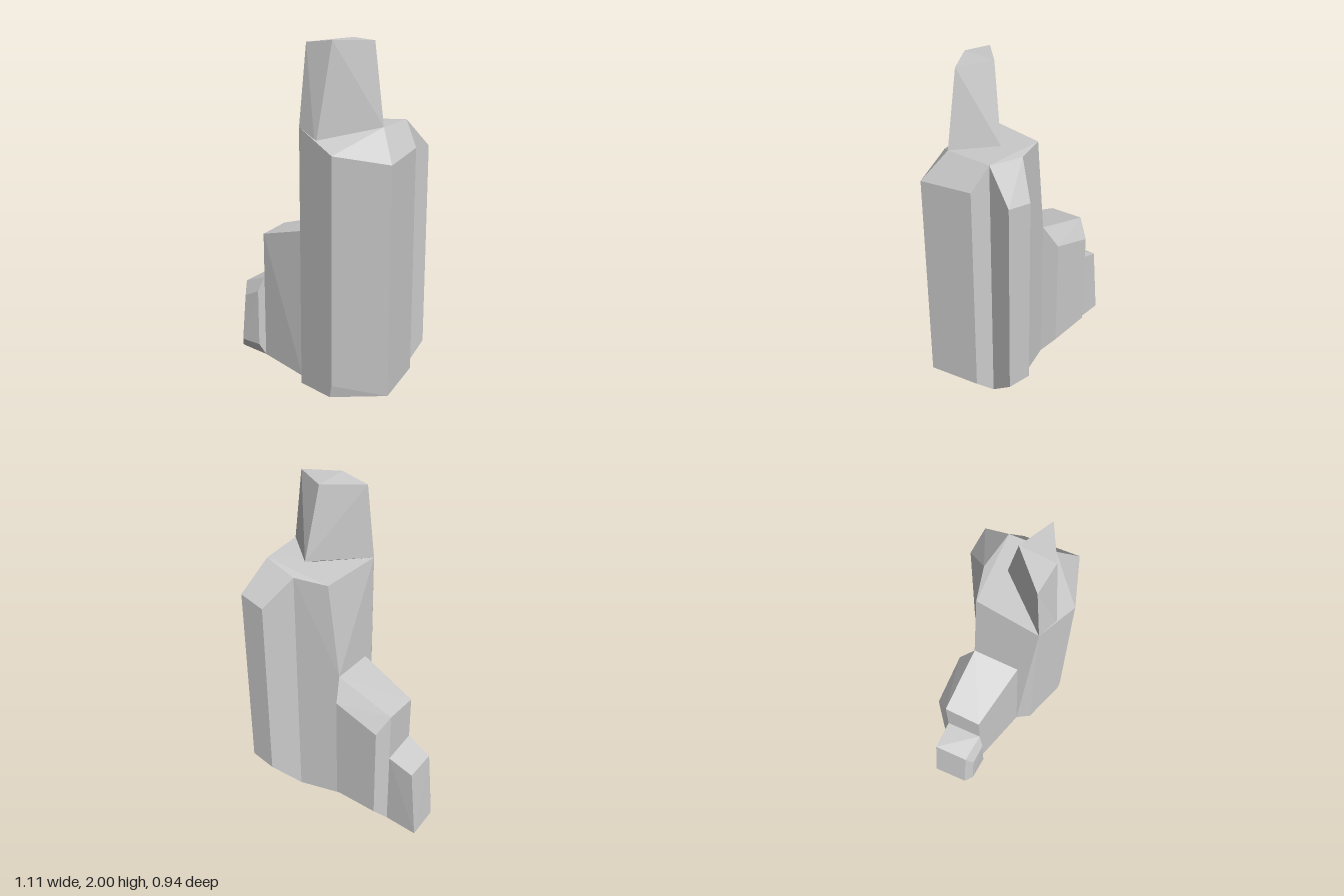
import * as THREE from 'three';
import { ConvexGeometry } from 'three/addons/geometries/ConvexGeometry.js';

const material = new THREE.MeshStandardMaterial({ color: 0xcccccc, flatShading: true });

// Faceted block: each corner is [x, z, ...heights at that spot]
function block(name, corners) {
  const points = corners.flatMap(([x, z, ...heights]) =>
    heights.map((y) => new THREE.Vector3(x, y, z)));
  const mesh = new THREE.Mesh(new ConvexGeometry(points), material);
  mesh.name = name;
  return mesh;
}

export function createModel() {
  const group = new THREE.Group();
  group.name = 'rockFormation';

  group.add(
    // Tall central pillar with bevelled front edges
    block('mainPillar', [
      [-0.16, 0.18, 0.015, 1.53],
      [-0.07, 0.29, 1.43],
      [0.01, 0.388, 0.035],
      [0.02, 0.40, 0.11, 1.42],
      [0.33, 0.47, 0.09, 1.39],
      [0.29, 0.325, 0.04, 1.56],
      [0.47, 0.18, 0.12, 1.42],
      [0.42, 0.09, 0.04, 1.56],
      [0.26, -0.06, 0, 1.53],
      [0.07, -0.12, 0.005, 1.525],
      [0.01, -0.15, 0.015, 0.94],
      [-0.12, 0.09, 0.92],
      [-0.16, 0.09, 0.015],
    ]),

    // Peak leaning back from the front edge of the pillar
    block('topSpire', [
      [-0.16, 0.18, 1.53],
      [-0.07, 0.29, 1.43],
      [0.29, 0.325, 1.56],
      [0.21, 0.06, 1.56],
      [-0.12, 0.16, 1.98],
      [0.02, 0.27, 2],
      [0.24, 0.28, 2],
      [0.13, 0.10, 2],
    ]),

    // Side slab on the pillar's left
    block('sideButtress', [
      [0.42, 0.09, 0.04, 1.56],
      [0.555, -0.025, 0.2, 1.39],
      [0.43, -0.12, 0.18, 1.36],
      [0.26, -0.06, 0, 1.53],
    ]),

    // Middle ledge, bevelled along its back
    block('middleStep', [
      [-0.12, 0.09, 0.92],
      [-0.16, 0.09, 0.015],
      [0.01, -0.15, 0.015, 0.94],
      [0.02, -0.24, 0.12, 0.82],
      [-0.21, -0.39, 0.12, 0.73],
      [-0.29, -0.35, 0.03, 0.83],
      [-0.40, -0.17, 0.03, 0.815],
    ]),

    // Lowest ledge, bevelled along its front
    block('lowerStep', [
      [-0.40, -0.17, 0.03, 0.54],
      [-0.29, -0.35, 0.03, 0.52],
      [-0.42, -0.44, 0.48],
      [-0.455, -0.47, 0.035],
      [-0.52, -0.27, 0.48],
      [-0.555, -0.295, 0.035],
      [-0.44, -0.16, 0.1, 0.45],
      [-0.525, -0.225, 0.4],
      [-0.55, -0.24, 0.1],
    ]),
  );

  return group;
}
